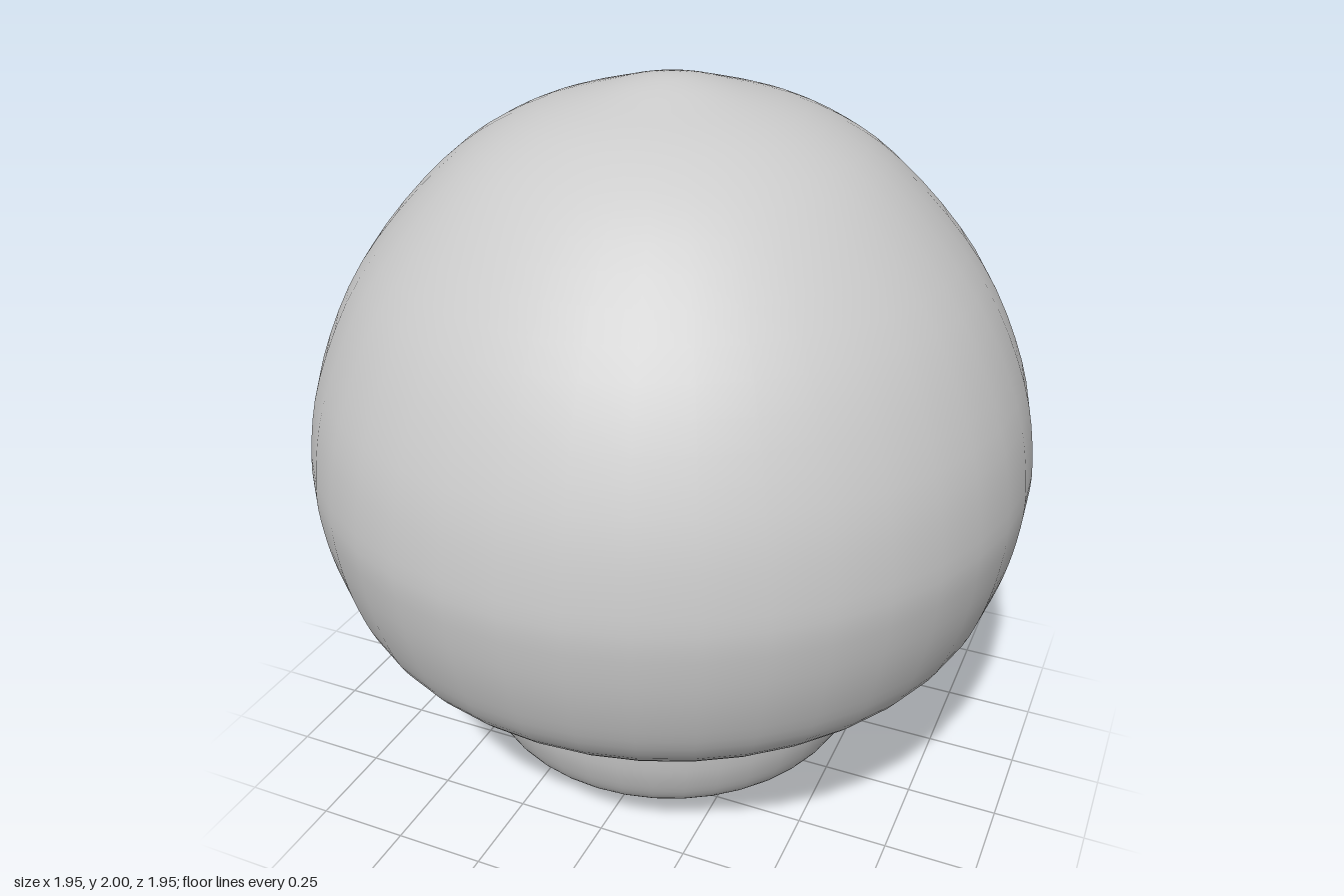
import * as THREE from 'three';

const SEGMENTS = 40;

// Spin a smooth profile of [radius, height] points, listed from bottom to top.
function turned(name, profile, material, divisions) {
  const curve = new THREE.SplineCurve(profile.map(([r, y]) => new THREE.Vector2(r, y)));
  const points = curve.getPoints(divisions);
  points.forEach((p) => { p.x = Math.max(p.x, 0); p.y = Math.max(p.y, 0); });
  const mesh = new THREE.Mesh(new THREE.LatheGeometry(points, SEGMENTS), material);
  mesh.name = name;
  return mesh;
}

export function createModel() {
  const group = new THREE.Group();
  group.name = 'roundKnob';
  const material = new THREE.MeshStandardMaterial({ color: 0xcccccc, side: THREE.DoubleSide });

  // Shallow rounded foot, widest where it meets the body
  group.add(turned('foot', [
    [0, 0], [0.13, 0.005], [0.28, 0.035], [0.4, 0.08],
    [0.49, 0.135], [0.54, 0.19], [0.575, 0.28], [0.59, 0.37],
  ], material, 28));

  // Bulbous body with a sharp lower rim and a softly pointed crown
  group.add(turned('body', [
    [0.59, 0.37], [0.76, 0.49], [0.87, 0.6], [0.93, 0.74], [0.965, 0.9],
    [0.97, 1.05], [0.925, 1.27], [0.8, 1.53], [0.59, 1.77], [0.39, 1.9],
    [0.17, 1.97], [0.06, 1.995], [0, 2],
  ], material, 48));

  return group;
}
